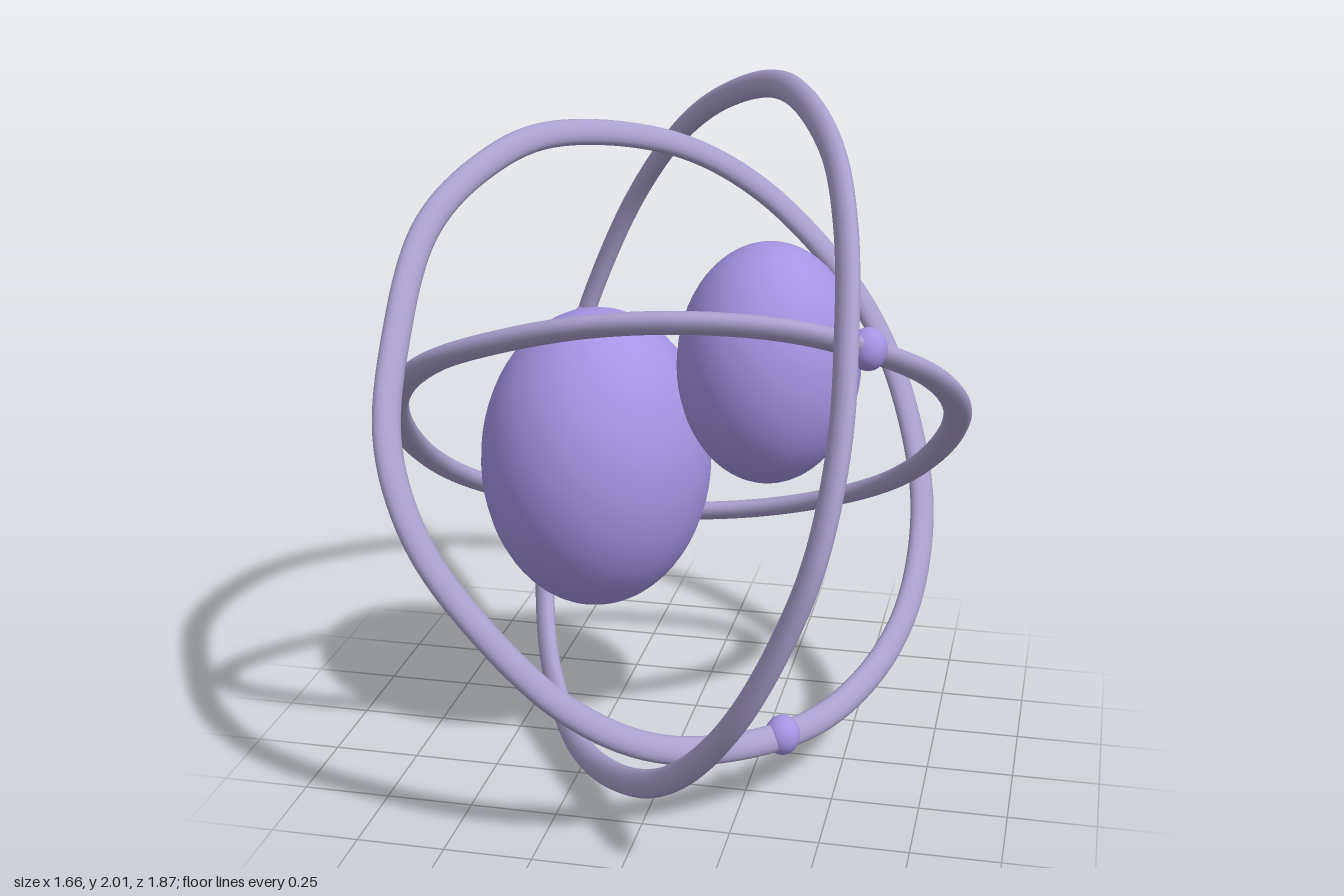
import * as THREE from 'three';
import { mergeVertices } from 'three/addons/utils/BufferGeometryUtils.js';

const TUBE = 0.04; // half width of a ring in its own plane
const FLATTEN = 0.7; // ring thickness across the plane, relative to its width

// Each ring is a 2D loop about its centre; toPoint lifts it onto the tilted plane
// with the given normal. The bead sits on the loop.
const RINGS = [
  {
    name: 'outerRing',
    center: [0, 1, 0],
    loop: [[-0.17, 0.965], [0.19, 0.872], [0.415, 0.71], [0.615, 0.485], [0.775, 0.26],
      [0.875, 0.02], [0.896, -0.16], [0.855, -0.46], [0.72, -0.71], [0.51, -0.87],
      [0.15, -0.965], [-0.2, -0.885], [-0.43, -0.735], [-0.645, -0.515], [-0.79, -0.275],
      [-0.877, -0.02], [-0.896, 0.16], [-0.855, 0.46], [-0.72, 0.71], [-0.51, 0.87]],
    toPoint: (z, y) => new THREE.Vector3(0.38 * y + 0.6 * z, y, z),
    normal: new THREE.Vector3(1, -0.38, -0.6),
    bead: [-0.875, 0.04],
  },
  {
    name: 'innerRing',
    center: [-0.02, 1, 0],
    loop: [[-0.26, 0.785], [-0.02, 0.725], [0.215, 0.6], [0.46, 0.37], [0.66, 0.13],
      [0.755, -0.085], [0.775, -0.29], [0.73, -0.555], [0.59, -0.715],
      [0.26, -0.785], [0, -0.73], [-0.245, -0.6], [-0.49, -0.375], [-0.65, -0.135],
      [-0.745, 0.085], [-0.775, 0.29], [-0.725, 0.55], [-0.58, 0.71]],
    toPoint: (z, y) => new THREE.Vector3(-0.8 * y - 0.78 * z, y, z),
    normal: new THREE.Vector3(1, 0.8, 0.78),
    bead: [0.31, -0.782],
  },
  {
    name: 'levelRing',
    center: [0, 1, 0],
    loop: [[0.79, -0.02], [0.735, 0.2], [0.58, 0.385], [0.4, 0.52], [0.17, 0.605],
      [-0.08, 0.635], [-0.32, 0.605], [-0.56, 0.52], [-0.73, 0.34],
      [-0.79, 0.04], [-0.735, -0.2], [-0.58, -0.39], [-0.4, -0.52], [-0.17, -0.605],
      [0.08, -0.635], [0.32, -0.6], [0.55, -0.49], [0.71, -0.29]],
    toPoint: (x, z) => new THREE.Vector3(x, 0.15 * x + 0.775 * z, z),
    normal: new THREE.Vector3(0.15, -1, 0.775),
    bead: [0.582, 0.39],
  },
];

// Closed tube along a planar loop, flattened toward the plane of the loop
function ringGeometry({ loop, toPoint, normal }) {
  const curve = new THREE.CatmullRomCurve3(loop.map(([a, b]) => toPoint(a, b)), true);
  let geo = new THREE.TubeGeometry(curve, 160, TUBE, 16, true);
  const n = normal.clone().normalize();
  const pos = geo.attributes.position;
  const v = new THREE.Vector3();
  for (let i = 0; i < pos.count; i++) {
    v.fromBufferAttribute(pos, i);
    v.addScaledVector(n, (FLATTEN - 1) * v.dot(n));
    pos.setXYZ(i, v.x, v.y, v.z);
  }
  // weld the seams so the shading is smooth all round
  geo.deleteAttribute('uv');
  geo.deleteAttribute('normal');
  geo = mergeVertices(geo, 1e-5);
  geo.computeVertexNormals();
  return geo;
}

export function createModel() {
  const model = new THREE.Group();
  model.name = 'orbitModel';

  const bodyMat = new THREE.MeshStandardMaterial({ color: 0xa594e4 });
  bodyMat.name = 'violet';
  const ringMat = new THREE.MeshStandardMaterial({ color: 0xaaa0ce });
  ringMat.name = 'greyViolet';

  const ball = new THREE.SphereGeometry(1, 48, 32);
  const addBall = (name, position, radii) => {
    const mesh = new THREE.Mesh(ball, bodyMat);
    mesh.name = name;
    mesh.position.copy(position);
    mesh.scale.set(...radii);
    model.add(mesh);
  };

  // Two egg-shaped cores
  addBall('largeCore', new THREE.Vector3(-0.243, 0.9, 0.01), [0.332, 0.44, 0.371]);
  addBall('smallCore', new THREE.Vector3(0.272, 1.24, 0.083), [0.255, 0.34, 0.284]);

  // Rings, each with one bead
  for (const ring of RINGS) {
    const mesh = new THREE.Mesh(ringGeometry(ring), ringMat);
    mesh.name = ring.name;
    mesh.position.set(...ring.center);
    model.add(mesh);
    addBall(ring.name + 'Bead', ring.toPoint(...ring.bead).add(mesh.position), [0.05, 0.057, 0.055]);
  }
  return model;
}
